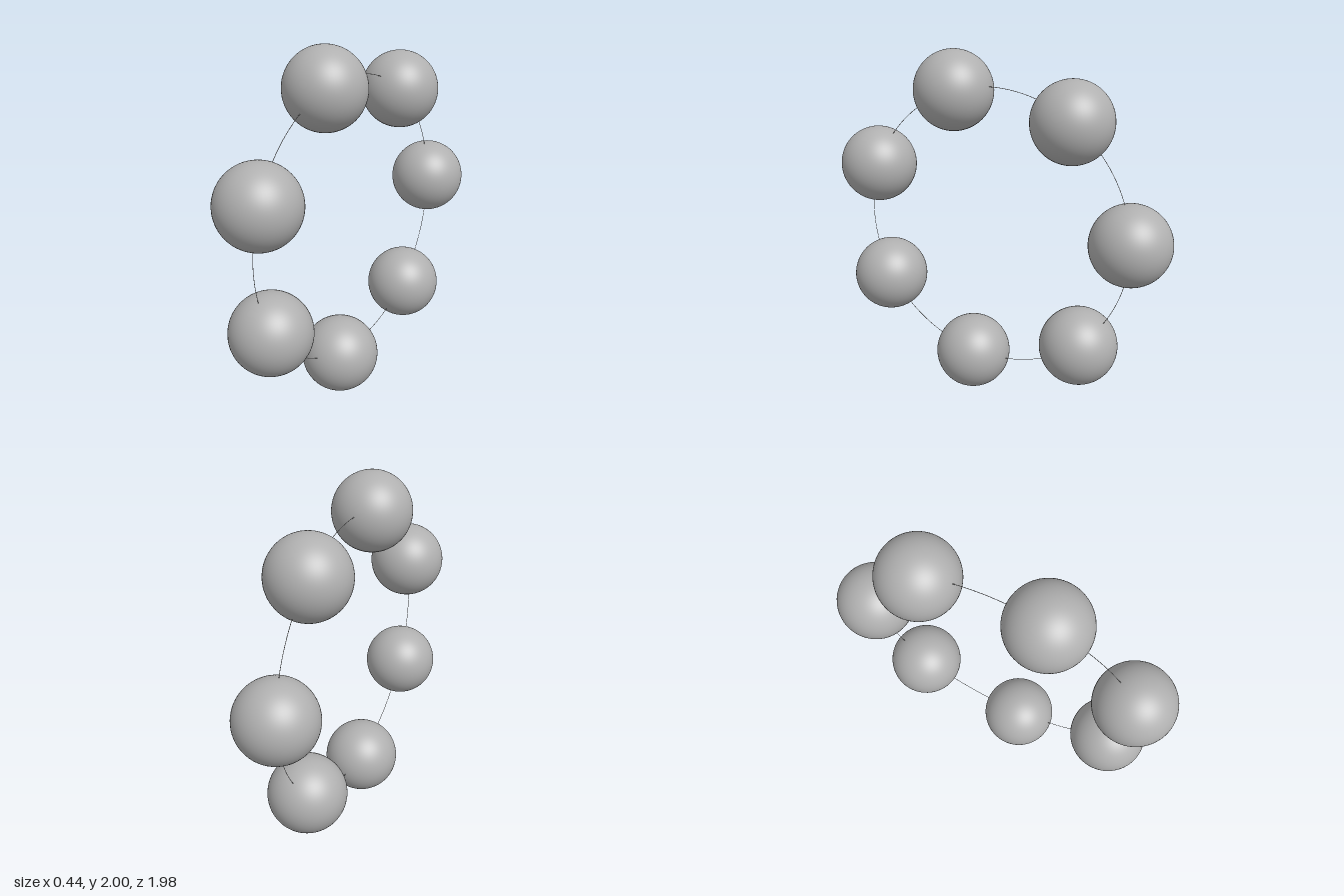
import * as THREE from 'three';

// Upright ring of seven equal beads on a very thin thread, lying in the YZ plane.
export function createModel() {
  const model = new THREE.Group();
  model.name = 'beadRing';

  const gray = new THREE.MeshStandardMaterial({ color: 0xb0b0b0 });
  gray.name = 'gray';

  const count = 7;
  const ringRadius = 0.803;
  const beadRadius = 0.219;
  const startAngle = THREE.MathUtils.degToRad(73.4);

  const ring = new THREE.Group();
  ring.name = 'ring';
  ring.position.set(0, 1.012, 0.028);
  model.add(ring);

  // beads, evenly spaced
  const beadGeometry = new THREE.SphereGeometry(beadRadius, 64, 40);
  for (let i = 0; i < count; i++) {
    const a = startAngle + (i / count) * Math.PI * 2;
    const bead = new THREE.Mesh(beadGeometry, gray);
    bead.name = `bead${i + 1}`;
    bead.position.set(0, Math.sin(a) * ringRadius, Math.cos(a) * ringRadius);
    ring.add(bead);
  }

  // thread through the bead centres
  const thread = new THREE.Mesh(new THREE.TorusGeometry(ringRadius, 0.0015, 6, 140), gray);
  thread.name = 'thread';
  thread.rotation.y = Math.PI / 2;
  ring.add(thread);

  return model;
}
